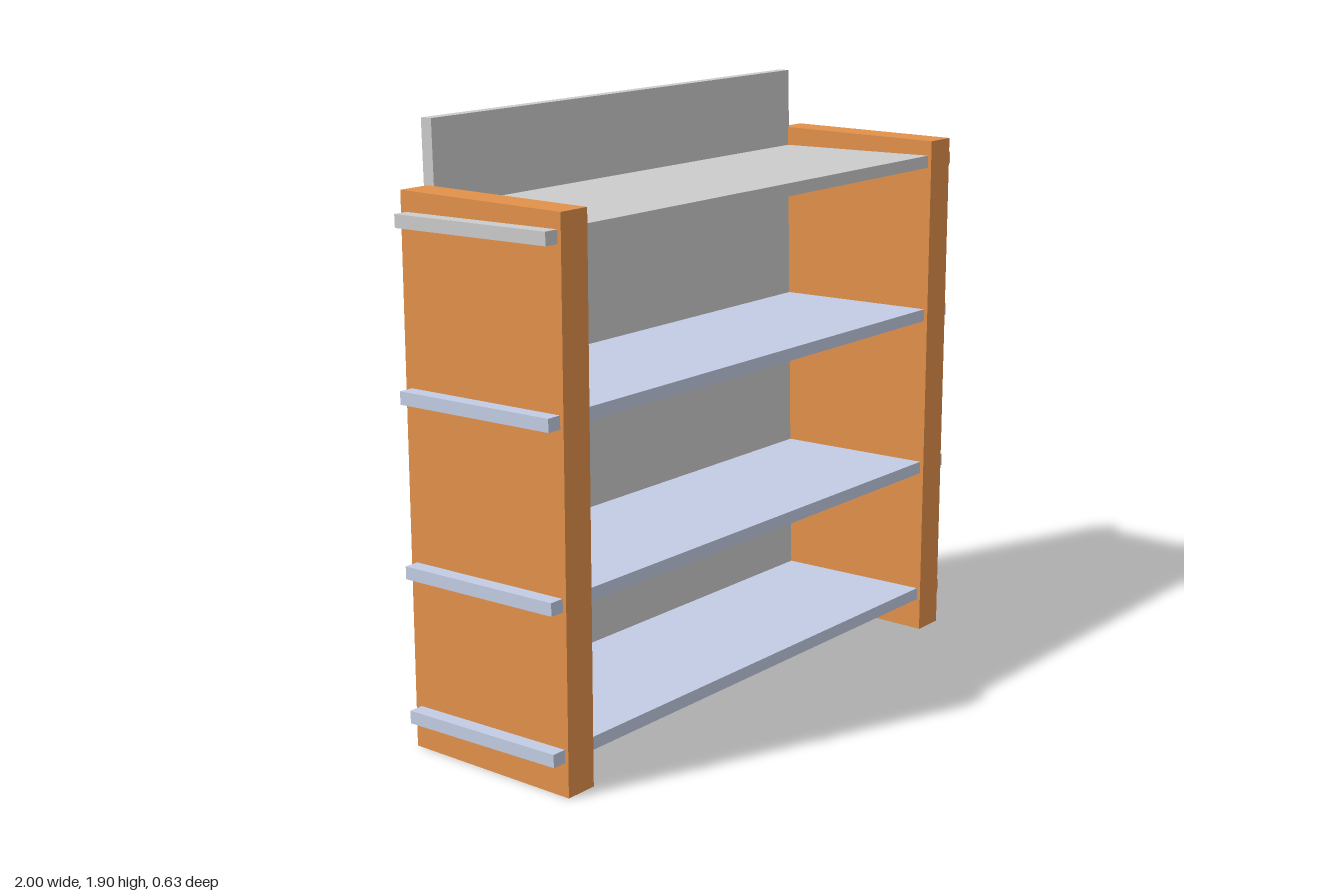
import * as THREE from 'three';

export function createModel() {
  const model = new THREE.Group();
  model.name = 'bookshelf';

  const material = (color) => new THREE.MeshStandardMaterial({ color, flatShading: true });
  const wood = material(0xe2914a);
  const grey = material(0xcccccc);
  const blue = material(0xc3cce4);
  const tilt = -0.0224; // shelves and back lean backwards slightly

  const addBox = (name, size, position, mat, angle = 0) => {
    const mesh = new THREE.Mesh(new THREE.BoxGeometry(...size), mat);
    mesh.name = name;
    mesh.position.set(...position);
    mesh.rotation.x = angle;
    model.add(mesh);
  };

  // Upright side panels
  addBox('rightSide', [0.108, 1.7, 0.615], [-0.898, 0.85, 0.01], wood);
  addBox('leftSide', [0.108, 1.7, 0.615], [0.921, 0.85, 0.01], wood);

  // Shelves run through the sides and stick out at both ends
  [0.12, 0.575, 1.107, 1.625].forEach((y, i) => {
    addBox(i < 3 ? `shelf${i + 1}` : 'topShelf', [2, 0.04, 0.58], [0, y, 0.015], i < 3 ? blue : grey, tilt);
  });

  // Leaning back panel, rising above the sides
  addBox('backPanel', [1.716, 1.8, 0.041], [0.014, 0.995, -0.276], grey, tilt);

  return model;
}
